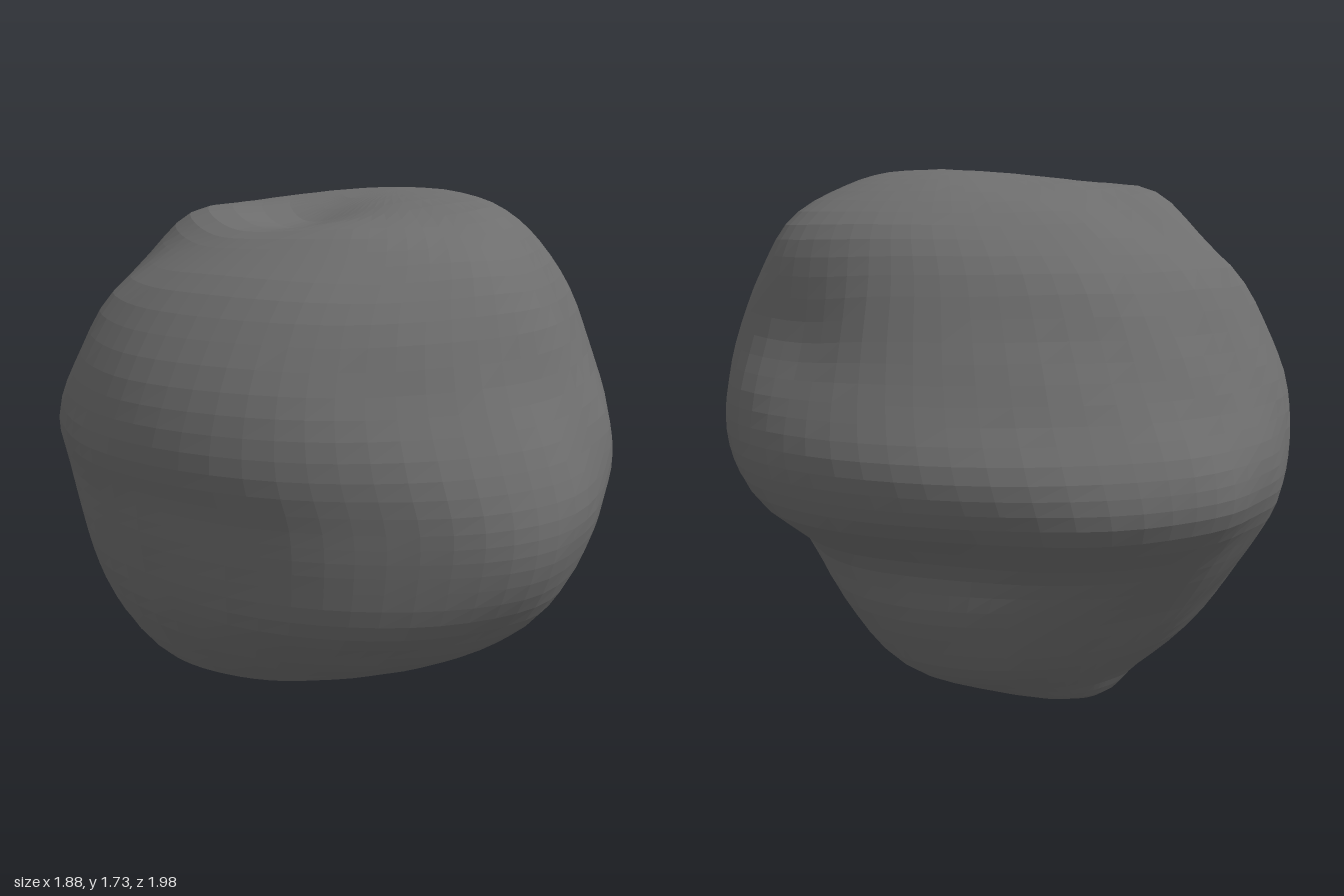
import * as THREE from 'three';

// Horizontal sections of the boulder: y, xMin, xMax, zMin, zMax, xMid, zMid,
// then corner fullness for (+x+z) (-x+z) (-x-z) (+x-z) where it is not round
const SECTIONS = [
  [0.018, -0.26, 0.03, -0.39, -0.12, -0.12, -0.26],
  [0.10, -0.38, 0.30, -0.46, 0.10, -0.10, -0.22],
  [0.22, -0.62, 0.49, -0.57, 0.39, -0.08, -0.18, 0.68, 0.70, 0.70, 0.75],
  [0.40, -0.77, 0.62, -0.71, 0.73, -0.08, -0.15, 0.67, 0.70, 0.70, 0.72],
  [0.57, -0.85, 0.70, -0.85, 0.91, -0.08, -0.12, 0.68, 0.72, 0.69, 0.65],
  [0.74, -0.89, 0.88, -0.98, 0.985, -0.08, -0.10, 0.66, 0.70, 0.68, 0.68],
  [0.88, -0.915, 0.94, -0.975, 0.995, -0.07, -0.08, 0.66, 0.69, 0.69, 0.69],
  [1.04, -0.955, 0.94, -0.89, 0.945, -0.07, -0.05, 0.67, 0.69, 0.70, 0.68],
  [1.22, -0.91, 0.89, -0.80, 0.85, -0.06, 0.00, 0.67, 0.70, 0.71, 0.67],
  [1.42, -0.78, 0.82, -0.69, 0.76, -0.03, 0.00, 0.66, 0.71, 0.73, 0.66],
  [1.57, -0.58, 0.73, -0.53, 0.65, 0.02, 0.00, 0.63, 0.71, 0.75, 0.66],
  [1.67, -0.42, 0.55, -0.36, 0.49, 0.08, 0.02, 0.64, 0.71, 0.78, 0.67],
  [1.72, -0.12, 0.40, -0.22, 0.22, 0.14, 0.00],
];
// Hollows pressed into the surface (negative depth swells): x, y, z, radius, depth
const HOLLOWS = [
  [-0.24, 1.68, 0.02, 0.22, 0.08],
  [-0.36, 1.62, -0.34, 0.16, -0.04],
  [0.85, 1.25, -0.22, 0.24, 0.06],
  [0.78, 0.90, 0.42, 0.15, 0.03],
];
const AROUND = 64;
const UP = 46;

// Eight control points around one section
function sectionPoints([y, x0, x1, z0, z1, xm, zm, pp = 0.7, np = 0.7, nn = 0.7, pn = 0.7]) {
  const corner = (x, z, f) => new THREE.Vector3(xm + (x - xm) * f, y, zm + (z - zm) * f);
  return [
    new THREE.Vector3(x1, y, zm), corner(x1, z1, pp),
    new THREE.Vector3(xm, y, z1), corner(x0, z1, np),
    new THREE.Vector3(x0, y, zm), corner(x0, z0, nn),
    new THREE.Vector3(xm, y, z0), corner(x1, z0, pn),
  ];
}

// Gentle surface unevenness
function ripple(p) {
  return 0.008 * Math.sin(7 * p.x + 3 * p.y + 1) * Math.sin(6 * p.z - 4 * p.y)
    + 0.004 * Math.sin(15 * p.x - 9 * p.z) * Math.sin(13 * p.y + 5 * p.z);
}

// Total inward push of the hollows at a point
function hollow(p) {
  return HOLLOWS.reduce((sum, [x, y, z, r, depth]) => {
    const d2 = (p.x - x) ** 2 + (p.y - y) ** 2 + (p.z - z) ** 2;
    return sum + depth * Math.exp(-d2 / (r * r));
  }, 0);
}

function boulderGeometry() {
  const bottom = new THREE.Vector3(-0.12, 0, -0.26);
  const top = new THREE.Vector3(0.22, 1.733, -0.01);
  const rings = SECTIONS.map((s) =>
    new THREE.CatmullRomCurve3(sectionPoints(s), true, 'centripetal'));
  const middle = new THREE.Vector3(0, 0.85, 0);
  const points = [bottom];
  const columns = [];
  for (let i = 0; i < AROUND; i++) {
    const column = rings.map((r) => r.getPoint(i / AROUND));
    columns.push(new THREE.CatmullRomCurve3([bottom, ...column, top], false, 'centripetal'));
  }
  for (let j = 1; j < UP; j++) {
    const fade = Math.min(1, j / 6, (UP - j) / 6);
    for (const c of columns) {
      const p = c.getPoint(j / UP);
      const out = p.clone().sub(middle).normalize();
      points.push(p.addScaledVector(out, ripple(p) * fade - hollow(p)));
    }
  }
  points.push(top);

  const index = [];
  const at = (j, i) => 1 + (j - 1) * AROUND + (i % AROUND);
  for (let i = 0; i < AROUND; i++) {
    index.push(0, at(1, i), at(1, i + 1));
    for (let j = 1; j < UP - 1; j++) {
      const a = at(j, i), b = at(j, i + 1), c = at(j + 1, i), d = at(j + 1, i + 1);
      index.push(a, c, b, b, c, d);
    }
    index.push(at(UP - 1, i), points.length - 1, at(UP - 1, i + 1));
  }
  const g = new THREE.BufferGeometry().setFromPoints(points);
  g.setIndex(index);
  g.computeVertexNormals();
  return g;
}

export function createModel() {
  const group = new THREE.Group();
  group.name = 'rock';
  const boulder = new THREE.Mesh(
    boulderGeometry(),
    new THREE.MeshStandardMaterial({ color: 0x6e6e6e, flatShading: true }),
  );
  boulder.name = 'boulder';
  group.add(boulder);
  return group;
}
